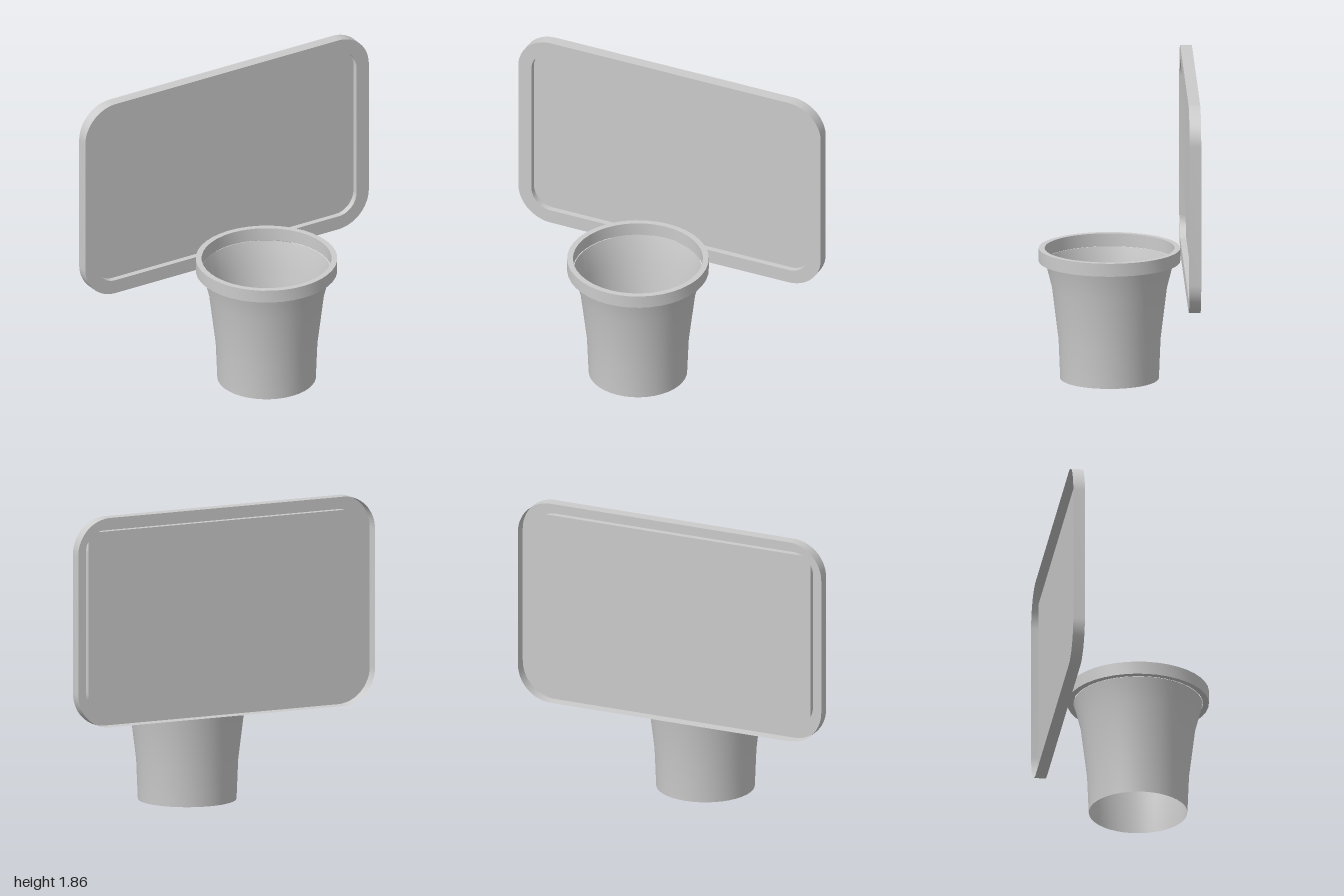
import * as THREE from 'three';
import { toCreasedNormals } from 'three/addons/utils/BufferGeometryUtils.js';

const material = new THREE.MeshStandardMaterial({ color: 0xcccccc, side: THREE.DoubleSide });

function part(name, geometry, parent) {
  const mesh = new THREE.Mesh(geometry, material);
  mesh.name = name;
  parent.add(mesh);
  return mesh;
}

// Counter-clockwise rounded rectangle centred on the origin
function roundedRect(hw, hh, r, PathType) {
  const p = new PathType();
  p.moveTo(hw, -hh + r);
  p.absarc(hw - r, hh - r, r, 0, Math.PI / 2);
  p.absarc(-hw + r, hh - r, r, Math.PI / 2, Math.PI);
  p.absarc(-hw + r, -hh + r, r, Math.PI, Math.PI * 1.5);
  p.absarc(hw - r, -hh + r, r, Math.PI * 1.5, Math.PI * 2);
  return p;
}

// Open band running back from an outline; inward flips its facing
function wall(outline, depth, inward) {
  const pts = outline.getPoints(10);
  const pos = [];
  for (let i = 0; i < pts.length; i++) {
    let a = pts[i], b = pts[(i + 1) % pts.length];
    if (a.distanceTo(b) < 1e-6) continue;
    if (inward) [a, b] = [b, a];
    pos.push(a.x, a.y, -depth, b.x, b.y, -depth, b.x, b.y, 0);
    pos.push(a.x, a.y, -depth, b.x, b.y, 0, a.x, a.y, 0);
  }
  const g = new THREE.BufferGeometry();
  g.setAttribute('position', new THREE.Float32BufferAttribute(pos, 3));
  return toCreasedNormals(g, 0.6);
}

function lathe(points, segments) {
  const g = new THREE.LatheGeometry(points.map(([x, y]) => new THREE.Vector2(x, y)), segments);
  return g;
}

export function createModel() {
  const model = new THREE.Group();

  // Backboard: a frame hollow from behind, with a flat panel at half depth
  const backboard = new THREE.Group();
  backboard.name = 'backboard';
  backboard.position.set(0, 1.22, -0.402);
  model.add(backboard);

  const outer = roundedRect(1, 0.638, 0.215, THREE.Shape);
  const inner = roundedRect(0.913, 0.551, 0.125, THREE.Path);
  const ring = outer.clone();
  ring.holes.push(inner);
  part('frameFace', new THREE.ShapeGeometry(ring, 10), backboard);
  part('frameOuterWall', wall(outer, 0.07, false), backboard);
  part('frameInnerWall', wall(inner, 0.036, true), backboard);
  part('panel', new THREE.PlaneGeometry(1.826, 1.102), backboard).position.z = -0.036;

  // Hoop: square-edged rim with an open flaring net below it
  const hoop = new THREE.Group();
  hoop.name = 'hoop';
  hoop.position.z = 0.047;
  model.add(hoop);

  const rim = lathe([[0.39, 0.72], [0.425, 0.72], [0.425, 0.8], [0.39, 0.8], [0.39, 0.72]], 40);
  part('rim', toCreasedNormals(rim, 0.6), hoop);
  part('net', lathe([[0.296, 0], [0.306, 0.24], [0.345, 0.56], [0.386, 0.72]], 40), hoop);

  return model;
}
